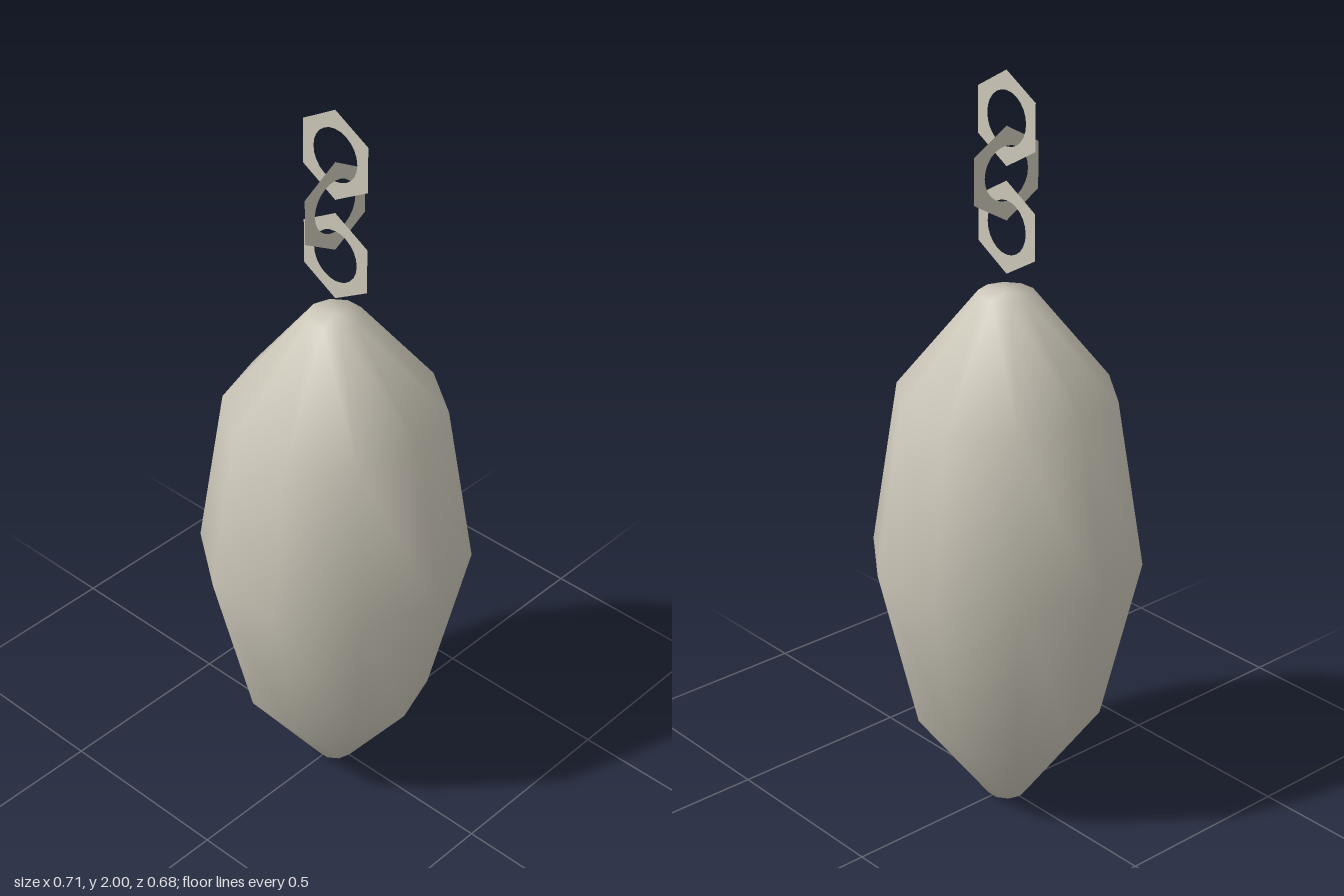
import * as THREE from 'three';

const stone = new THREE.MeshStandardMaterial({ color: 0xccc7b9, side: THREE.DoubleSide });
stone.name = 'warm grey';

// ten-sided smooth body, profile from bottom to top
function pendantBody() {
  const profile = [
    [0, 0], [0.053, 0], [0.252, 0.27], [0.357, 0.72],
    [0.286, 1.168], [0.072, 1.436], [0, 1.436],
  ];
  const points = profile.map(([r, y]) => new THREE.Vector2(r, y));
  const geometry = new THREE.LatheGeometry(points, 10, Math.PI / 2);
  geometry.normalizeNormals();
  const mesh = new THREE.Mesh(geometry, stone);
  mesh.name = 'pendantBody';
  return mesh;
}

// flat hexagonal link with a round hole
function chainLink(name, y, turn) {
  const shape = new THREE.Shape();
  for (let i = 0; i < 6; i++) {
    const a = Math.PI / 2 + (i * Math.PI) / 3;
    const p = [0.12 * Math.cos(a), 0.12 * Math.sin(a)];
    if (i === 0) shape.moveTo(...p);
    else shape.lineTo(...p);
  }
  shape.closePath();
  const hole = new THREE.Path();
  hole.absarc(0, 0, 0.07, 0, Math.PI * 2, true);
  shape.holes.push(hole);
  const mesh = new THREE.Mesh(new THREE.ShapeGeometry(shape, 12), stone);
  mesh.name = name;
  mesh.position.y = y;
  mesh.rotation.y = turn;
  return mesh;
}

export function createModel() {
  const model = new THREE.Group();
  model.name = 'pendant';
  model.add(pendantBody());

  // hanging chain, alternate links turned a quarter
  model.add(chainLink('lowerLink', 1.604, 0));
  model.add(chainLink('middleLink', 1.742, Math.PI / 2));
  model.add(chainLink('upperLink', 1.88, 0));

  return model;
}
